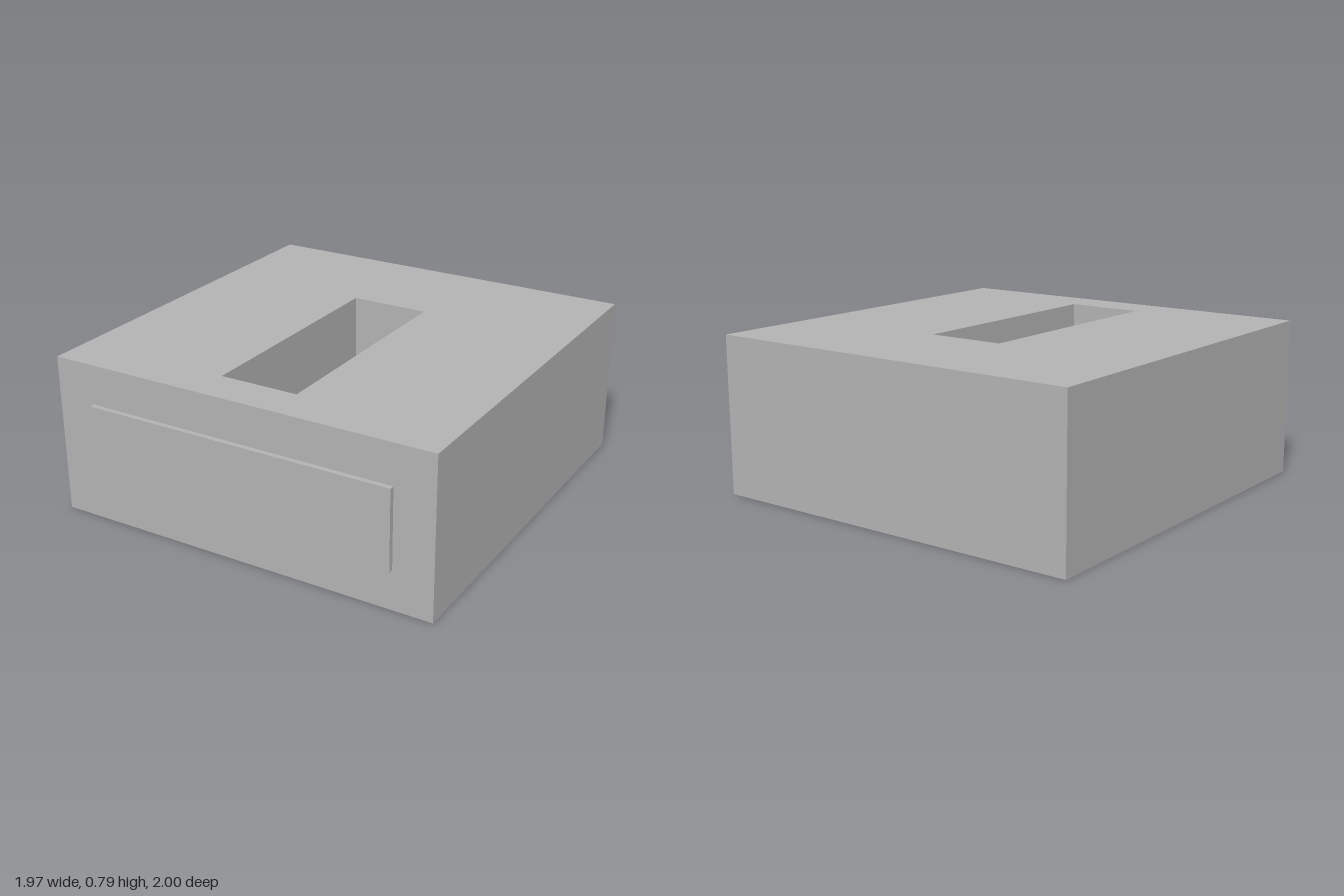
import * as THREE from 'three';
import { mergeGeometries } from 'three/addons/utils/BufferGeometryUtils.js';

// Overall sizes
const W = 1.97, H = 0.79, BACK = -1, FRONT = 0.975;
const SLOT = { w: 0.395, back: -0.41, front: 0.775, floor: 0.2 };

// Box without its top face; inward = true turns the walls to face the inside
function openBox(w, y0, y1, z0, z1, inward) {
  const g = new THREE.BoxGeometry(w, y1 - y0, z1 - z0);
  const index = Array.from(g.index.array);
  index.splice(12, 6); // top face
  g.setIndex(index);
  g.clearGroups();
  if (inward) {
    g.scale(-1, 1, 1);
    g.computeVertexNormals();
  }
  return g.translate(0, (y0 + y1) / 2, (z0 + z1) / 2);
}

function rectangle(PathType, w, z0, z1) {
  const p = new PathType();
  p.moveTo(-w / 2, -z1);
  p.lineTo(w / 2, -z1);
  p.lineTo(w / 2, -z0);
  p.lineTo(-w / 2, -z0);
  p.closePath();
  return p;
}

export function createModel() {
  const group = new THREE.Group();
  group.name = 'slottedBox';
  const grey = new THREE.MeshStandardMaterial({ color: 0xb2b2b2 });
  grey.name = 'plain grey';

  // Body: outer walls, top with a slot cut into it, and the pocket below the slot
  const topShape = rectangle(THREE.Shape, W, BACK, FRONT);
  topShape.holes.push(rectangle(THREE.Path, SLOT.w, SLOT.back, SLOT.front));
  const top = new THREE.ShapeGeometry(topShape).rotateX(-Math.PI / 2).translate(0, H, 0);
  const body = new THREE.Mesh(mergeGeometries([
    openBox(W, 0, H, BACK, FRONT, false),
    top,
    openBox(SLOT.w, SLOT.floor, H, SLOT.back, SLOT.front, true),
  ]), grey);
  body.name = 'body';

  // Raised front panel, set through the front wall as far as the pocket
  const depth = 1 - SLOT.front;
  const panel = new THREE.Mesh(new THREE.BoxGeometry(1.575, 0.395, depth), grey);
  panel.position.set(0, 0.395, 1 - depth / 2);
  panel.name = 'frontPanel';

  group.add(body, panel);
  return group;
}
